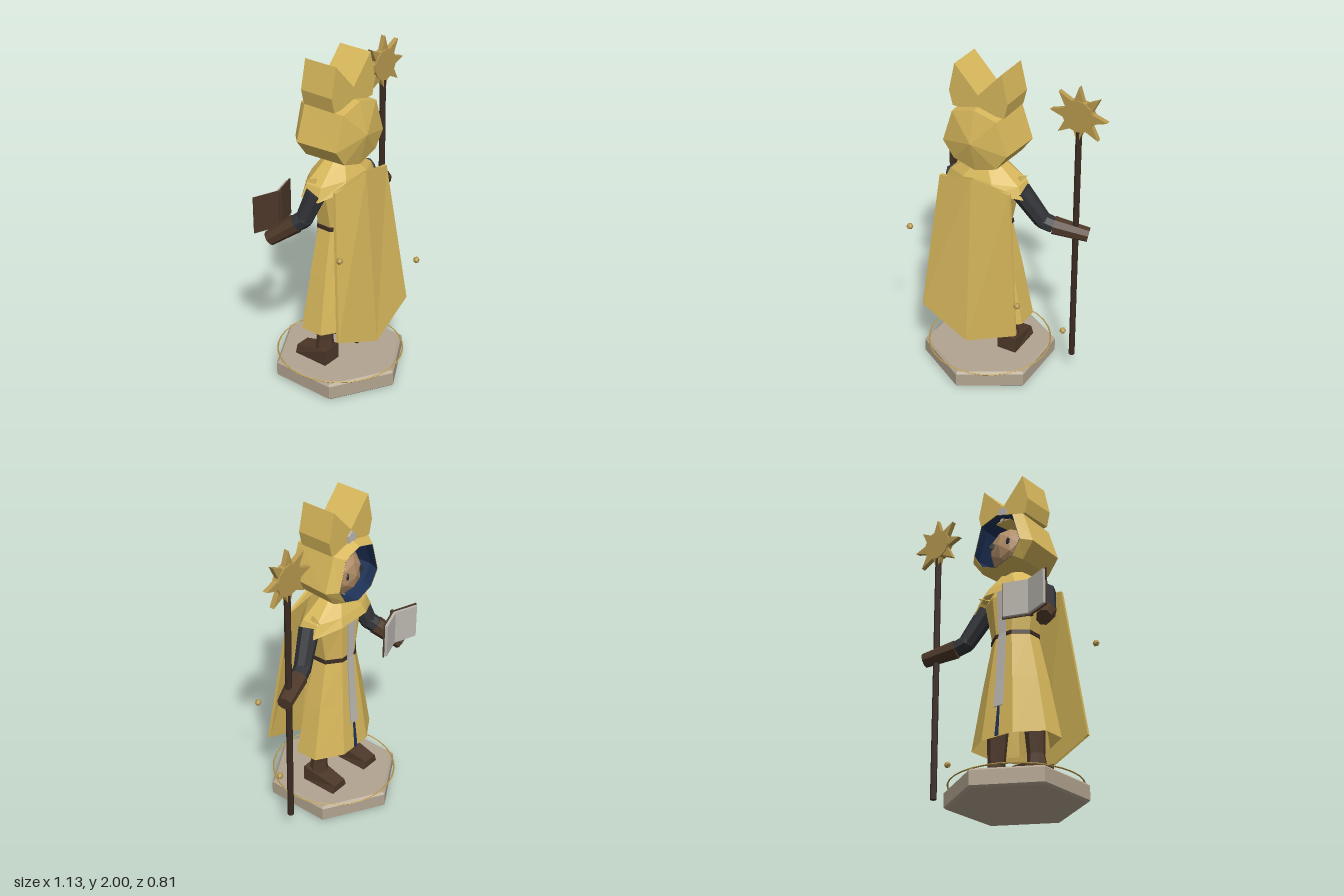
import * as THREE from 'three';

const mat = (name, color, side = THREE.FrontSide) => {
  const m = new THREE.MeshStandardMaterial({ color, flatShading: true, side });
  m.name = name;
  return m;
};

export function createModel() {
  const gold = mat('goldCloth', 0xd8b85c, THREE.DoubleSide);
  const brass = mat('brass', 0xb8994f);
  const leather = mat('leather', 0x4d3829);
  const wood = mat('darkWood', 0x3a2b22);
  const charcoal = mat('charcoal', 0x303236);
  const navy = mat('navyLining', 0x1f3358, THREE.DoubleSide);
  const skin = mat('skin', 0xb08c66);
  const silver = mat('silver', 0xbcb8b1);
  const stone = mat('stone', 0xb2a490);

  const root = new THREE.Group();
  root.name = 'hoodedMage';
  const figure = new THREE.Group(); // body axis sits left of the model centre
  figure.name = 'figure';
  figure.position.x = -0.137;
  root.add(figure);

  const add = (parent, name, geo, material, x = 0, y = 0, z = 0) => {
    const m = new THREE.Mesh(geo, material);
    m.name = name;
    m.position.set(x, y, z);
    parent.add(m);
    return m;
  };

  // Skin a list of equal-length closed rings of [x, y, z]
  const loft = (rings, capStart = false, capEnd = false) => {
    const pos = [], n = rings[0].length;
    const tri = (...p) => p.forEach(v => pos.push(...v));
    for (let i = 0; i < rings.length - 1; i++)
      for (let j = 0; j < n; j++) {
        const k = (j + 1) % n;
        tri(rings[i][j], rings[i][k], rings[i + 1][k]);
        tri(rings[i][j], rings[i + 1][k], rings[i + 1][j]);
      }
    const cap = (r, flip) => {
      const c = [0, 1, 2].map(a => r.reduce((s, p) => s + p[a], 0) / n);
      r.forEach((p, j) => flip ? tri(c, r[(j + 1) % n], p) : tri(c, p, r[(j + 1) % n]));
    };
    if (capStart) cap(rings[0], true);
    if (capEnd) cap(rings[rings.length - 1], false);
    const g = new THREE.BufferGeometry();
    g.setAttribute('position', new THREE.Float32BufferAttribute(pos, 3));
    g.computeVertexNormals();
    return g;
  };

  // Eight-sided ring with flat front and back
  const octagon = (y, rx, rz) => Array.from({ length: 8 }, (_, j) => {
    const a = (j + 0.5) * Math.PI / 4;
    return [rx / 0.924 * Math.cos(a), y, -rz / 0.924 * Math.sin(a)];
  });

  // Tapered limb between two points
  const limb = (parent, name, a, b, r0, r1, material, sides = 8) => {
    const p = new THREE.Vector3(...a), q = new THREE.Vector3(...b);
    const d = q.clone().sub(p);
    const m = add(parent, name, new THREE.CylinderGeometry(r1, r0, d.length(), sides), material);
    m.position.copy(p).addScaledVector(d, 0.5);
    m.quaternion.setFromUnitVectors(new THREE.Vector3(0, 1, 0), d.normalize());
    return m;
  };

  // Thin strip hanging on the front, from [y, z, halfWidth] points, bottom first
  const strip = pts => loft(pts.map(([y, z, w]) =>
    [[w, y, z + 0.008], [w, y, z], [-w, y, z], [-w, y, z + 0.008]]), true, true);

  const polygon = pts => new THREE.Shape(pts.map(p => new THREE.Vector2(...p)));

  // Hexagonal plinth with bevelled edges, and the thin ring lying on it
  const hex = (y, r) => Array.from({ length: 6 }, (_, j) => {
    const a = (j + 0.5) * Math.PI / 3;
    return [r * Math.cos(a), y, -r * Math.sin(a)];
  });
  add(figure, 'plinth', loft([hex(0, 0.39), hex(0.012, 0.405), hex(0.095, 0.405), hex(0.108, 0.39)], true, true), stone);
  add(figure, 'plinthRing', new THREE.TorusGeometry(0.378, 0.005, 4, 32), brass, 0, 0.115).rotation.x = Math.PI / 2;

  // Boots
  for (const s of [-1, 1]) {
    limb(figure, 'bootShaft', [s * 0.15, 0.14, 0.0], [s * 0.14, 0.26, 0.0], 0.062, 0.05, leather);
    limb(figure, 'leg', [s * 0.14, 0.26, 0.0], [s * 0.13, 0.5, 0.0], 0.05, 0.065, leather);
    const toe = new THREE.BoxGeometry(0.125, 0.1, 0.23);
    const p = toe.attributes.position;
    for (let i = 0; i < p.count; i++)
      if (p.getY(i) > 0 && p.getZ(i) < 0) p.setXYZ(i, p.getX(i) * 0.75, 0.0, p.getZ(i));
    add(figure, 'bootFoot', toe, leather, s * 0.152, 0.16, -0.055);
  }

  // Robe, belt, front stole and the slit below it
  add(figure, 'robe', loft([
    octagon(0.355, 0.265, 0.17), octagon(0.7, 0.2, 0.135), octagon(1.0, 0.135, 0.105),
    octagon(1.25, 0.185, 0.115), octagon(1.38, 0.09, 0.07)]), gold);
  add(figure, 'belt', loft([octagon(0.985, 0.145, 0.113), octagon(1.008, 0.143, 0.112)], true, true), wood);
  add(figure, 'stole', strip([[0.54, -0.162, 0.032], [0.7, -0.146, 0.03], [1.0, -0.124, 0.025], [1.27, -0.128, 0.032]]), silver);
  add(figure, 'robeSlit', strip([[0.36, -0.177, 0.011], [0.55, -0.158, 0.005]]), navy);

  // Shoulder mantle, lower over the arms
  const mantle = (y, drop, rx, rz) => octagon(y, rx, rz).map(([x, , z]) =>
    [x, y - drop * Math.abs(x) / rx, z]);
  add(figure, 'mantle', loft([mantle(1.29, 0.07, 0.26, 0.145), mantle(1.325, 0.03, 0.225, 0.125), octagon(1.41, 0.075, 0.07)]), gold);
  for (const s of [-1, 1])
    limb(figure, 'mantleFold', [s * 0.2, 1.315, 0.0], [s * 0.215, 1.305, -0.07], 0.02, 0.002, gold, 3);

  // Back cape with a central ridge
  const capeRow = (w, yEdge, yMid, zEdge, zMid, t = 0.018) => [
    [-w, yEdge, zEdge], [0, yMid, zMid], [w, yEdge, zEdge],
    [w, yEdge, zEdge - t], [0, yMid, zMid - t], [-w, yEdge, zEdge - t]];
  add(figure, 'cape', loft([
    capeRow(0.322, 0.41, 0.27, 0.255, 0.28), capeRow(0.23, 1.3, 1.355, 0.162, 0.195)], true, true), gold);

  // Hood: rings from the face opening to a pointed back, with a lining
  const half = [[0, 1.385], [0.15, 1.43], [0.225, 1.53], [0.155, 1.735], [0, 1.775]];
  const outline = [...half, ...half.slice(1, 4).reverse().map(([x, y]) => [-x, y])];
  const hoodRing = (z, sx, sy) => outline.map(([x, y]) => [x * sx, 1.58 + (y - 1.58) * sy, z]);
  const tip = outline.map(() => [0, 1.58, 0.2]);
  add(figure, 'hood', loft([hoodRing(-0.172, 0.76, 0.9), hoodRing(-0.115, 1, 1), hoodRing(0.15, 0.92, 0.97), tip]), gold);
  add(figure, 'hoodLining', loft([hoodRing(-0.171, 0.745, 0.885), hoodRing(-0.1, 0.86, 0.9), hoodRing(0.1, 0.8, 0.85)], false, true), navy);

  // Head
  add(figure, 'head', new THREE.IcosahedronGeometry(1, 1), skin, 0, 1.56, -0.03).scale.set(0.125, 0.15, 0.125);
  add(figure, 'neck', new THREE.CylinderGeometry(0.05, 0.06, 0.16, 8), skin, 0, 1.4, -0.01);
  for (const s of [-1, 1]) {
    const eye = add(figure, 'eye', new THREE.CylinderGeometry(0.02, 0.02, 0.009, 5), charcoal, s * 0.058, 1.575, -0.139);
    eye.rotation.set(-Math.PI / 2, 0, s * 0.45);
  }

  // Two-pointed headpiece with a front gem
  const crown = polygon([[-0.165, 1.74], [0.165, 1.74], [0.187, 1.83], [0.148, 2], [0, 1.84], [-0.148, 2], [-0.187, 1.83]]);
  add(figure, 'headpiece', new THREE.ExtrudeGeometry(crown, { depth: 0.215, bevelEnabled: false }), gold, 0, 0, -0.11);
  const gem = polygon([[0, -0.05], [0.03, -0.025], [0.03, 0.025], [0, 0.05], [-0.03, 0.025], [-0.03, -0.025]]);
  add(figure, 'gem', new THREE.ExtrudeGeometry(gem, { depth: 0.012, bevelEnabled: false }), silver, 0, 1.785, -0.122);

  // Arms: sleeve, elbow and glove
  const arms = [
    [[0.08, 1.25, 0.01], [0.2, 1.06, -0.04], [0.26, 1.035, -0.06], [0.455, 0.993, -0.125]],
    [[-0.35, 1.25, 0.01], [-0.4, 1.09, -0.04], [-0.425, 1.06, -0.08], [-0.505, 0.95, -0.215]]];
  for (const [shoulder, elbow, cuff, hand] of arms) {
    const arm = new THREE.Group();
    arm.name = 'arm';
    root.add(arm);
    limb(arm, 'upperSleeve', shoulder, elbow, 0.062, 0.052, charcoal);
    add(arm, 'elbow', new THREE.IcosahedronGeometry(0.052, 1), charcoal, ...elbow);
    limb(arm, 'lowerSleeve', elbow, cuff, 0.052, 0.05, charcoal);
    limb(arm, 'glove', cuff, hand, 0.056, 0.044, leather);
  }

  // Staff topped with a sun
  const staff = new THREE.Group();
  staff.name = 'staff';
  staff.position.set(0.385, 0, -0.097);
  root.add(staff);
  limb(staff, 'staffPole', [0, 0.12, 0], [0, 1.68, 0], 0.019, 0.019, wood);
  add(staff, 'sunDisc', new THREE.CylinderGeometry(0.095, 0.095, 0.044, 14), brass, 0, 1.763, 0).rotation.x = Math.PI / 2;
  const ray = new THREE.ExtrudeGeometry(polygon([[-0.03, 0.085], [0.03, 0.085], [0, 0.175]]), { depth: 0.03, bevelEnabled: false });
  ray.translate(0, 0, -0.015);
  for (let i = 0; i < 8; i++)
    add(staff, 'sunRay', ray, brass, 0, 1.763, 0).rotation.z = i * Math.PI / 4;

  // Open book: covers behind, pages facing forward
  const book = new THREE.Group();
  book.name = 'book';
  book.position.set(-0.413, 1.105, -0.213);
  root.add(book);
  for (const s of [-1, 1]) {
    const leaf = new THREE.Group();
    leaf.name = 'bookHalf';
    leaf.rotation.y = s * 0.34;
    book.add(leaf);
    add(leaf, 'cover', new THREE.BoxGeometry(0.165, 0.225, 0.008), leather, s * 0.0825, 0, 0);
    add(leaf, 'pages', new THREE.BoxGeometry(0.155, 0.21, 0.016), silver, s * 0.08, 0, -0.012);
  }
  add(book, 'spine', new THREE.BoxGeometry(0.02, 0.225, 0.02), leather, 0, 0, 0.004);

  // Floating motes
  for (const [x, y, z] of [[-0.497, 0.983, 0.296], [0.219, 0.667, 0.296], [0.368, 0.353, 0]])
    add(root, 'mote', new THREE.IcosahedronGeometry(0.021, 0), brass, x, y, z);

  return root;
}
